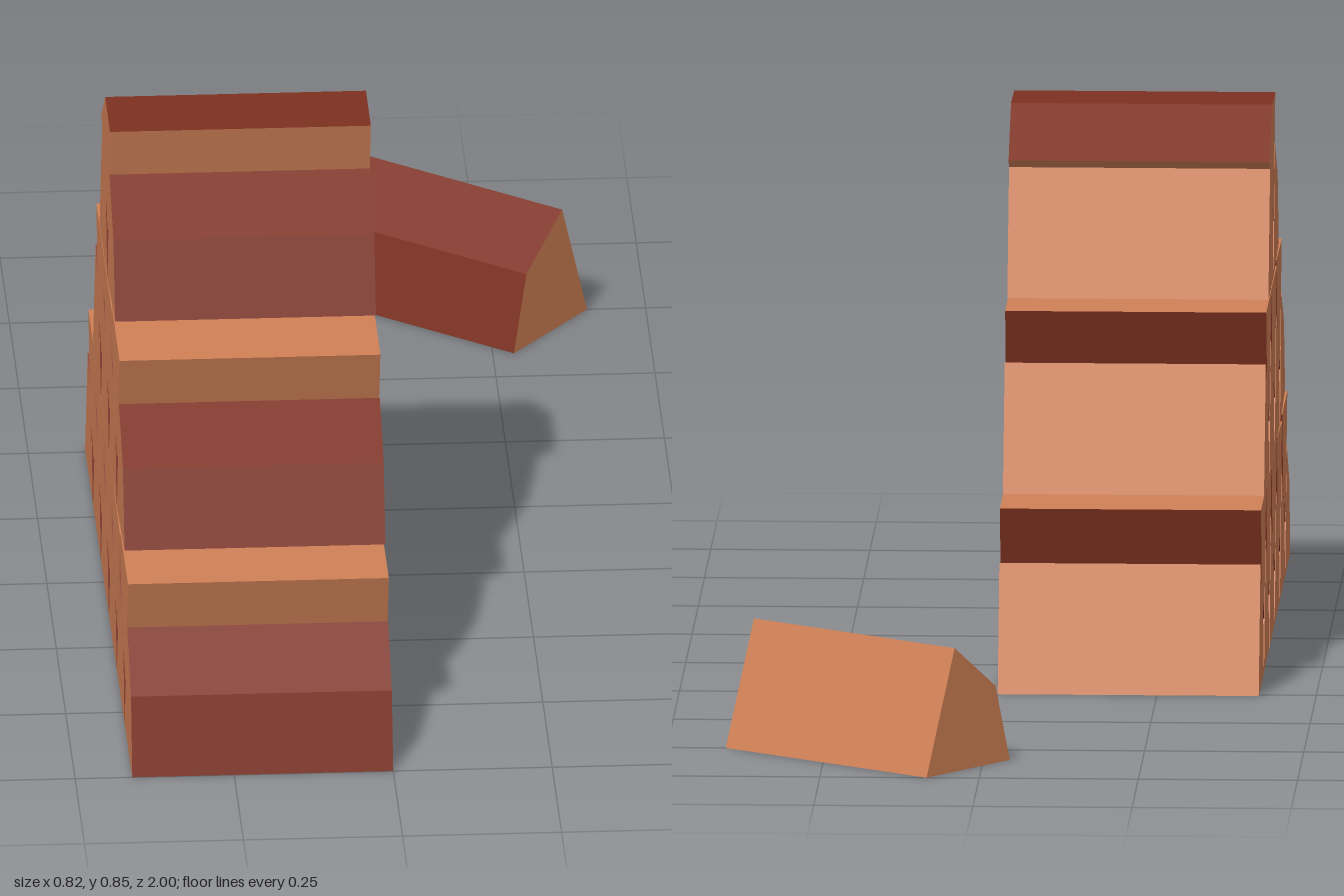
import * as THREE from 'three';

const LENGTH = 0.41;
// Split-log cross-section [z, y]: outer foot, bark shoulder, ridge, inner foot
const PROFILE = [[0, 0], [-0.035, 0.123], [-0.135, 0.197], [-0.204, 0]];

const wood = new THREE.MeshStandardMaterial({ color: 0xd08055, flatShading: true });
const bark = new THREE.MeshStandardMaterial({ color: 0x7d3020, flatShading: true });

const corner = (i, x) => [x, PROFILE[i][1], PROFILE[i][0]];

// Long face between two neighbouring profile corners
function side(i) {
  const j = (i + 1) % 4, h = LENGTH / 2;
  return [corner(i, h), corner(j, h), corner(j, -h), corner(i, -h)];
}

function quadGeometry(quads) {
  const points = quads.flatMap(([a, b, c, d]) => [a, b, c, a, c, d]);
  const geometry = new THREE.BufferGeometry();
  geometry.setAttribute('position', new THREE.Float32BufferAttribute(points.flat(), 3));
  geometry.computeVertexNormals();
  return geometry;
}

const barkGeometry = () => quadGeometry([side(0), side(1)]);
const woodGeometry = () => quadGeometry([
  side(2), side(3),
  [3, 2, 1, 0].map(i => corner(i, LENGTH / 2)),
  [0, 1, 2, 3].map(i => corner(i, -LENGTH / 2)),
]);

export function createModel() {
  const model = new THREE.Group();
  model.name = 'firewoodPile';
  const barkGeo = barkGeometry(), woodGeo = woodGeometry();

  // One log, placed by its outer foot and rolled about its length
  function log(name, z, y, roll) {
    const group = new THREE.Group();
    group.name = name;
    const core = new THREE.Mesh(woodGeo, wood);
    core.name = 'splitWood';
    const skin = new THREE.Mesh(barkGeo, bark);
    skin.name = 'bark';
    group.add(core, skin);
    group.position.set(0, y, z);
    group.rotation.x = roll;
    return group;
  }

  // Rows from the ground up, [z, y, roll]; every second row lies upside down
  const PI = Math.PI;
  const rows = [
    [[1, 0, 0], [0.793, 0, 0], [0.582, 0, 0], [0.369, 0, 0], [0.158, 0, 0], [-0.056, 0, 0]],
    [[0.68, 0.28, PI], [0.469, 0.28, PI + 0.05], [0.254, 0.28, PI], [0.04, 0.28, PI], [-0.171, 0.28, PI]],
    [[0.795, 0.298, -0.092], [0.581, 0.281, 0], [0.369, 0.281, 0], [0.156, 0.281, 0]],
    [[0.455, 0.566, PI + 0.013], [0.249, 0.557, PI], [0.04, 0.557, PI]],
    [[0.541, 0.578, -0.08], [0.33, 0.562, 0]],
    [[0.404, 0.843, -1.27]],
  ];
  const stack = new THREE.Group();
  stack.name = 'logStack';
  stack.position.x = -LENGTH / 2;
  rows.forEach((row, r) => {
    const layer = new THREE.Group();
    layer.name = `logRow${r + 1}`;
    row.forEach((place, i) => layer.add(log(`log${i + 1}`, ...place)));
    stack.add(layer);
  });
  model.add(stack);

  // Single log lying apart behind the stack
  const loose = new THREE.Group();
  loose.name = 'looseLog';
  loose.position.set(0.183, 0, -0.794);
  loose.rotation.y = -0.655;
  loose.add(log('log', 0.102, 0, 0));
  model.add(loose);

  return model;
}
